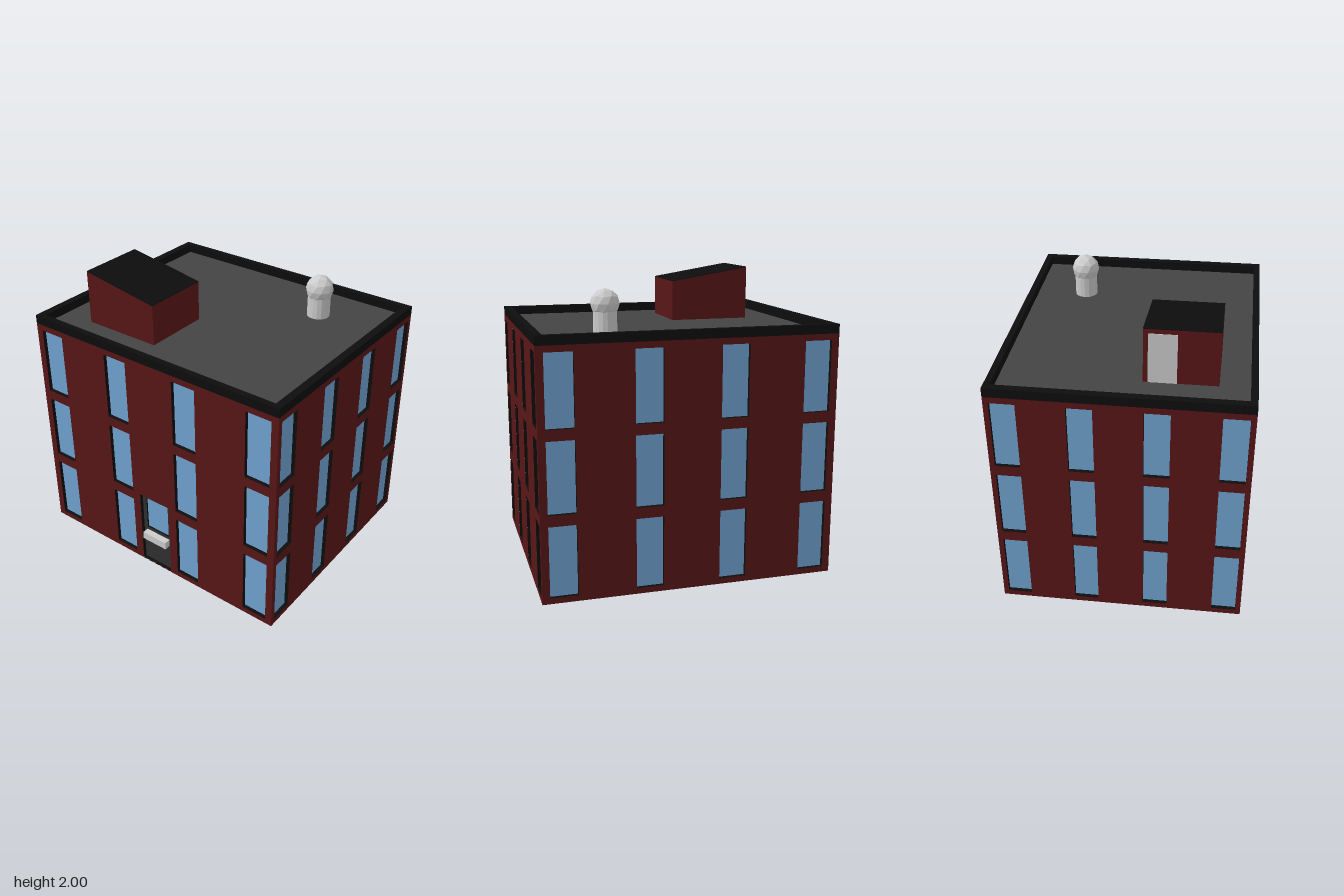
import * as THREE from 'three';

const HX = 0.8125, HZ = 0.977;          // half width and half depth of the building
const WALL_TOP = 1.63, TOP = 1.69;      // roof deck and parapet heights
const RECESS = 0.026;                   // depth of the window reveals

const paint = (color) => new THREE.MeshStandardMaterial({ color });
const brick = paint(0x581616);
const black = paint(0x0d0d0d);
const glass = paint(0x70a3d1);
const deck = paint(0x444444);
const doorPaint = paint(0x303030);
const grey = new THREE.MeshStandardMaterial({ color: 0xcccccc });
const greyFlat = new THREE.MeshStandardMaterial({ color: 0xcccccc, flatShading: true });

function add(parent, name, geometry, material, x = 0, y = 0, z = 0) {
  const mesh = new THREE.Mesh(geometry, material);
  mesh.name = name;
  mesh.position.set(x, y, z);
  parent.add(mesh);
  return mesh;
}

const rectPoints = (x0, y0, x1, y1) => [
  new THREE.Vector2(x0, y0), new THREE.Vector2(x1, y0),
  new THREE.Vector2(x1, y1), new THREE.Vector2(x0, y1),
];

// Rectangle with rectangular holes, each given as [x0, y0, x1, y1]
function panel(outer, holes) {
  const shape = new THREE.Shape(rectPoints(...outer));
  for (const h of holes) shape.holes.push(new THREE.Path(rectPoints(...h)));
  return shape;
}

const extrude = (shape, depth) => new THREE.ExtrudeGeometry(shape, { depth, bevelEnabled: false });

// Dark reveal lining an opening, with its front just behind the wall face
function addReveal(parent, name, [x0, y0, x1, y1], sill = 0.008) {
  const m = 0.008;
  const ring = panel([x0 - m, y0 - sill, x1 + m, y1 + m], [[x0, y0, x1, y1]]);
  add(parent, name, extrude(ring, RECESS), black, 0, 0, -RECESS - 0.001);
}

function addPane(parent, name, [x0, y0, x1, y1], z) {
  add(parent, name, new THREE.PlaneGeometry(x1 - x0, y1 - y0), glass, (x0 + x1) / 2, (y0 + y1) / 2, z);
}

// One facade in its own frame: local z points outward
function facade(name, half, columns, windowWidth, door) {
  const wall = new THREE.Group();
  wall.name = name;
  const openings = [];
  for (const y of [0.038, 0.58, 1.12]) {
    for (const c of columns) {
      openings.push([c - windowWidth / 2, y, c + windowWidth / 2, y + 0.469]);
    }
  }
  for (const o of openings) {
    addReveal(wall, 'windowFrame', o);
    addPane(wall, 'windowGlass', o, -RECESS);
  }
  const holes = door ? [...openings, door] : openings;
  add(wall, 'brickWall', new THREE.ShapeGeometry(panel([-half, 0, half, WALL_TOP], holes)), brick);
  return wall;
}

// Entrance door with a glazed upper half and a push bar
function addDoor(wall, door) {
  const [x0, y0, x1, y1] = door;
  const light = [-0.095, 0.29, 0.095, 0.545];
  addReveal(wall, 'doorFrame', door, 0);
  const leaf = extrude(panel([x0, y0, x1, y1], [light]), 0.012);
  add(wall, 'doorLeaf', leaf, [doorPaint, black], 0, 0, -RECESS - 0.012);
  addPane(wall, 'doorGlass', light, -RECESS - 0.011);
  add(wall, 'pushBar', new THREE.BoxGeometry(0.2, 0.055, 0.046), grey, 0, 0.238, -0.003);
}

// Extrudes a (z, y) side profile along x
function alongX(points, width) {
  const shape = new THREE.Shape(points.map(([z, y]) => new THREE.Vector2(-z, y)));
  return extrude(shape, width).rotateY(Math.PI / 2);
}

export function createModel() {
  const model = new THREE.Group();
  model.name = 'building';
  const body = new THREE.Group();
  body.name = 'body';
  body.position.x = 0.0075;
  model.add(body);

  // Four facades, the one on -x with the entrance
  const door = [-0.127, 0.004, 0.127, 0.575];
  const wideCols = [-0.698, -0.2325, 0.2325, 0.698];
  const deepCols = [-0.837, -0.279, 0.279, 0.837];
  const sides = [
    ['frontFacade', HX, wideCols, 0.161, 0, HZ],
    ['leftFacade', HZ, deepCols, 0.181, 1, HX],
    ['backFacade', HX, wideCols, 0.161, 2, HZ],
    ['rightFacade', HZ, deepCols, 0.181, 3, HX],
  ];
  for (const [name, half, cols, width, turn, distance] of sides) {
    const wall = facade(name, half, cols, width, turn === 3 ? door : null);
    if (turn === 3) addDoor(wall, door);
    wall.rotation.y = turn * Math.PI / 2;
    wall.position.set(0, 0, distance).applyAxisAngle(new THREE.Vector3(0, 1, 0), wall.rotation.y);
    body.add(wall);
  }

  // Underside, roof deck and parapet
  add(body, 'underside', new THREE.PlaneGeometry(2 * HX, 2 * HZ).rotateX(Math.PI / 2), black);
  add(body, 'roofDeck', new THREE.PlaneGeometry(2 * HX - 0.06, 2 * HZ - 0.08).rotateX(-Math.PI / 2),
    deck, 0, WALL_TOP + 0.001);
  const ix = HX - 0.041, iz = HZ - 0.051;
  const rim = panel([-HX, -HZ, HX, HZ], [[-ix, -iz, ix, iz]]);
  add(body, 'parapet', extrude(rim, TOP - WALL_TOP).rotateX(-Math.PI / 2), black, 0, WALL_TOP);

  // Stair house with a sloping roof and a door at the back
  const stair = new THREE.Group();
  stair.name = 'stairHouse';
  model.add(stair);
  const front = -0.14, back = -0.695, width = 0.466, t = 0.004;
  add(stair, 'stairWalls', alongX(
    [[front, WALL_TOP], [back, WALL_TOP], [back, 2 - t], [front, 1.91 - t]], width), brick, -0.574);
  add(stair, 'stairRoof', alongX(
    [[front, 1.91 - t], [back, 2 - t], [back, 2], [front, 1.91]], width), black, -0.574);
  add(stair, 'stairDoor', new THREE.BoxGeometry(0.178, 0.335, 0.006), grey, -0.227, WALL_TOP + 0.169, back);

  // Roof vent: round pipe with a faceted ball cap
  const vent = new THREE.Group();
  vent.name = 'roofVent';
  vent.position.set(0.434, WALL_TOP, 0.47);
  model.add(vent);
  add(vent, 'ventPipe', new THREE.CylinderGeometry(0.078, 0.078, 0.18, 16), greyFlat, 0, 0.09);
  const ball = new THREE.IcosahedronGeometry(0.095, 1).rotateX(-Math.atan((1 + Math.sqrt(5)) / 2));
  add(vent, 'ventCap', ball, greyFlat, 0, 0.195);

  return model;
}
